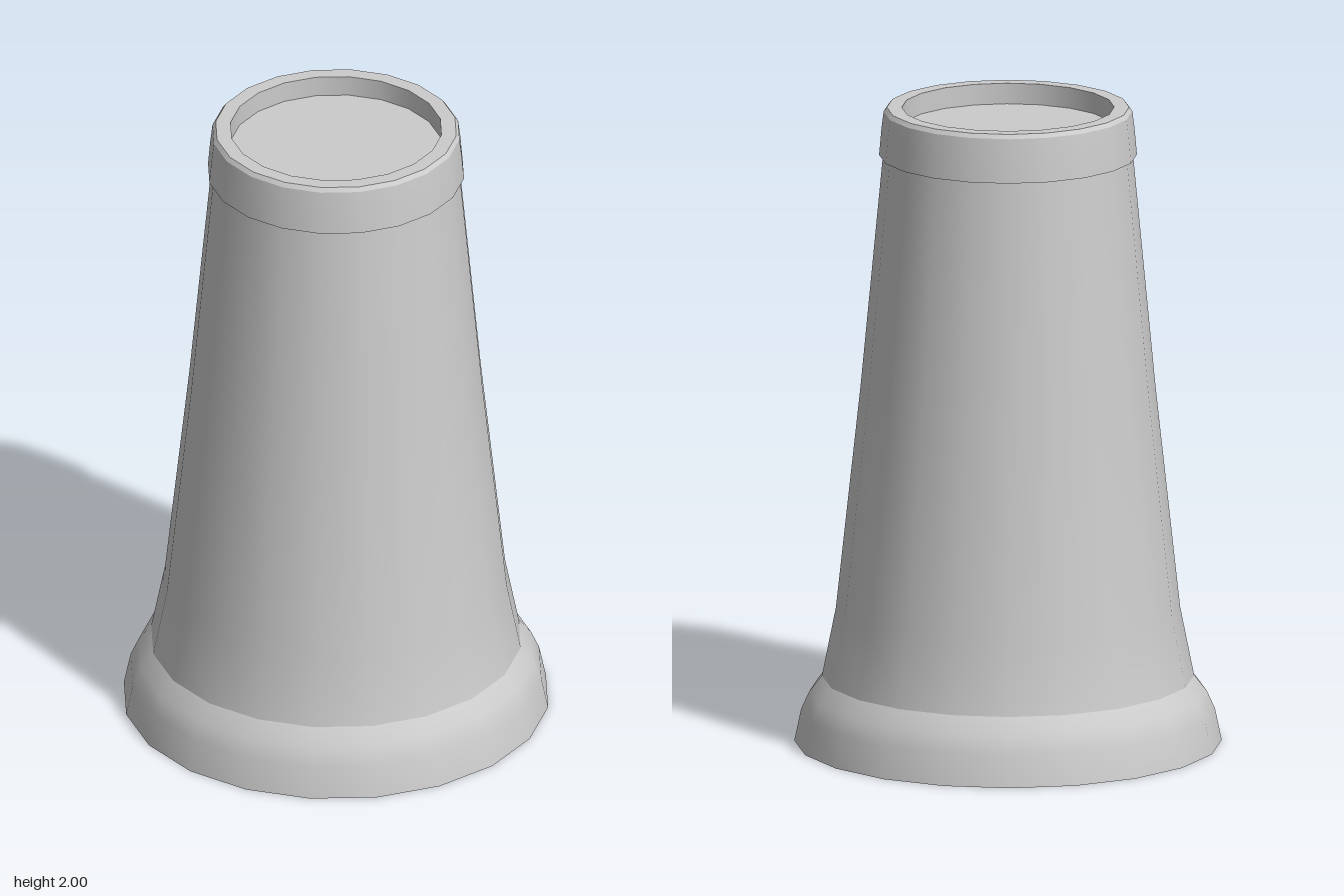
import * as THREE from 'three';

const SIDES = 20;

export function createModel() {
  const group = new THREE.Group();
  const material = new THREE.MeshStandardMaterial({ color: 0xcccccc, side: THREE.DoubleSide });

  // Turned band: smooth within one profile, sharp where two bands meet
  function band(name, profile, parent = group) {
    const points = profile.map(([r, y]) => new THREE.Vector2(r, y));
    const geometry = new THREE.LatheGeometry(points, SIDES, Math.PI / SIDES);
    const mesh = new THREE.Mesh(geometry, material);
    mesh.name = name;
    parent.add(mesh);
  }

  // Flared foot, open underneath
  band('footSkirt', [[0.658, 0], [0.637, 0.1], [0.612, 0.155], [0.573, 0.205]]);

  // Tapering hollow body
  band('body', [[0.573, 0.205], [0.53, 0.42], [0.454, 1.12], [0.385, 1.85]]);

  // Collar around the top, with a bevelled lip and a shallow recess
  const collar = new THREE.Group();
  collar.name = 'collar';
  group.add(collar);
  band('collarUnderside', [[0.385, 1.85], [0.397, 1.85]], collar);
  band('collarWall', [[0.397, 1.85], [0.39, 1.93], [0.383, 1.987]], collar);
  band('collarBevel', [[0.383, 1.987], [0.373, 2]], collar);
  band('collarLip', [[0.373, 2], [0.327, 2]], collar);
  band('recessWall', [[0.327, 2], [0.327, 1.935]], collar);
  band('recessFloor', [[0.327, 1.935], [0, 1.935]], collar);

  return group;
}
